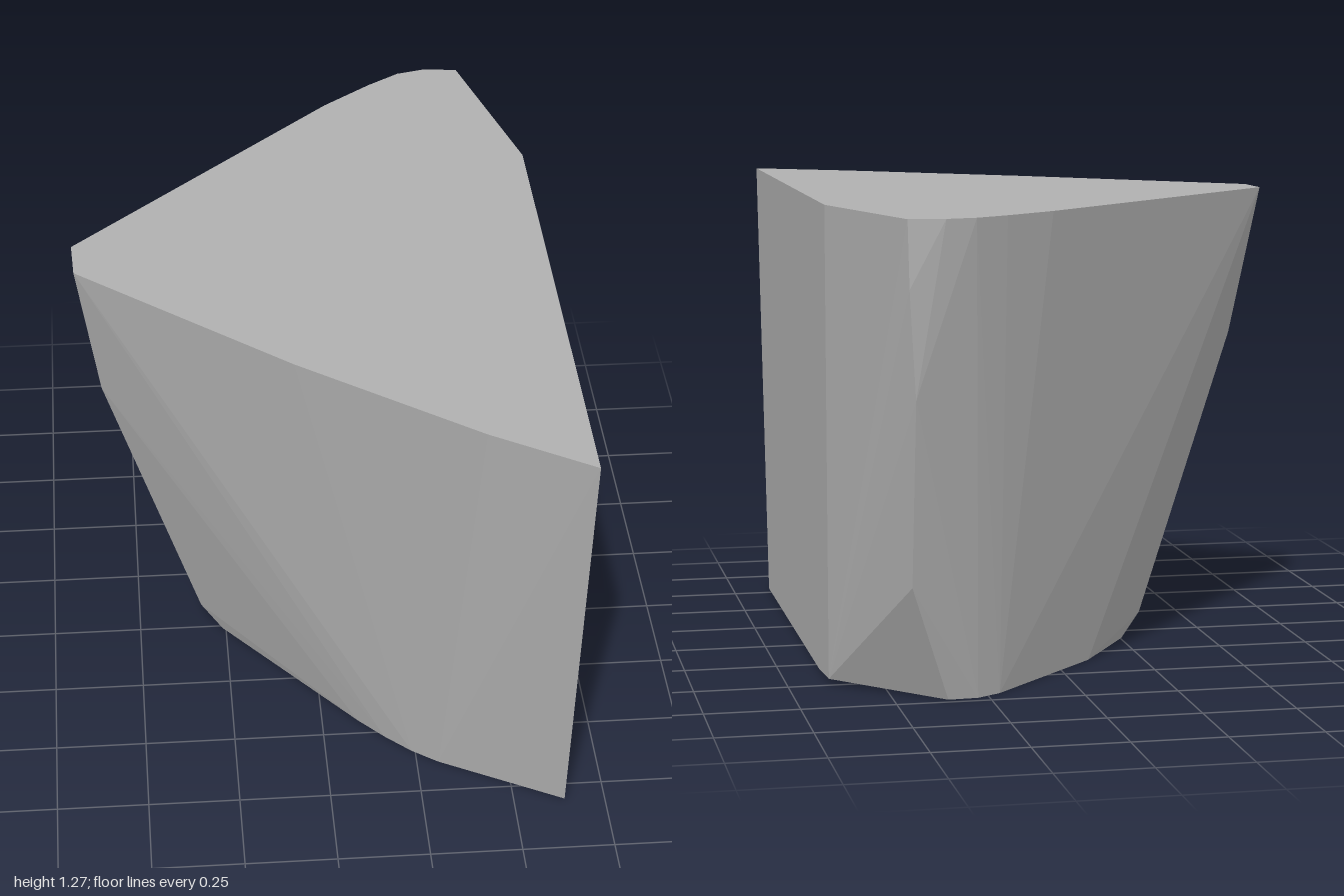
import * as THREE from 'three';
import { ConvexGeometry } from 'three/addons/geometries/ConvexGeometry.js';

const HEIGHT = 1.275;

// Flat top outline, as x, z
const topOutline = [
  [0.64, 1], [0.38, 0.84], [-0.08, 0.5], [-0.64, 0.03], [-0.645, -0.1],
  [0.1, -0.81], [0.24, -0.92], [0.33, -0.98], [0.41, -1], [0.505, -0.99], [0.64, -0.49],
];

// Smaller base outline, as x, z
const baseOutline = [
  [0.64, 0.81], [0.31, 0.635], [0.24, 0.585], [0.17, 0.52], [0.1, 0.445],
  [-0.26, 0.01], [-0.255, -0.09], [-0.1, -0.345], [0.215, -0.68],
  [0.28, -0.72], [0.36, -0.725], [0.64, -0.3],
];

// Corners on the tapering sides, as x, y, z
const sideCorners = [
  [-0.58, 0.86, -0.02], [-0.32, 0.06, -0.03], // narrow left edge
  [0.5, 1.1, -0.985], [0.48, 0.82, -0.955], [0.47, 0.32, -0.825], // back edge
  [0.64, 0.015, -0.49], // lower corner of the flat side
];

export function createModel() {
  const group = new THREE.Group();
  group.name = 'facetedBlock';

  const stone = new THREE.MeshStandardMaterial({ color: 0xb0b0b0 });
  stone.name = 'stoneGrey';

  // Convex faceted body spanning the two outlines
  const points = [
    ...topOutline.map(([x, z]) => new THREE.Vector3(x, HEIGHT, z)),
    ...baseOutline.map(([x, z]) => new THREE.Vector3(x, 0, z)),
    ...sideCorners.map((p) => new THREE.Vector3(...p)),
  ];
  const body = new THREE.Mesh(new ConvexGeometry(points), stone);
  body.name = 'stoneBody';
  group.add(body);

  return group;
}
